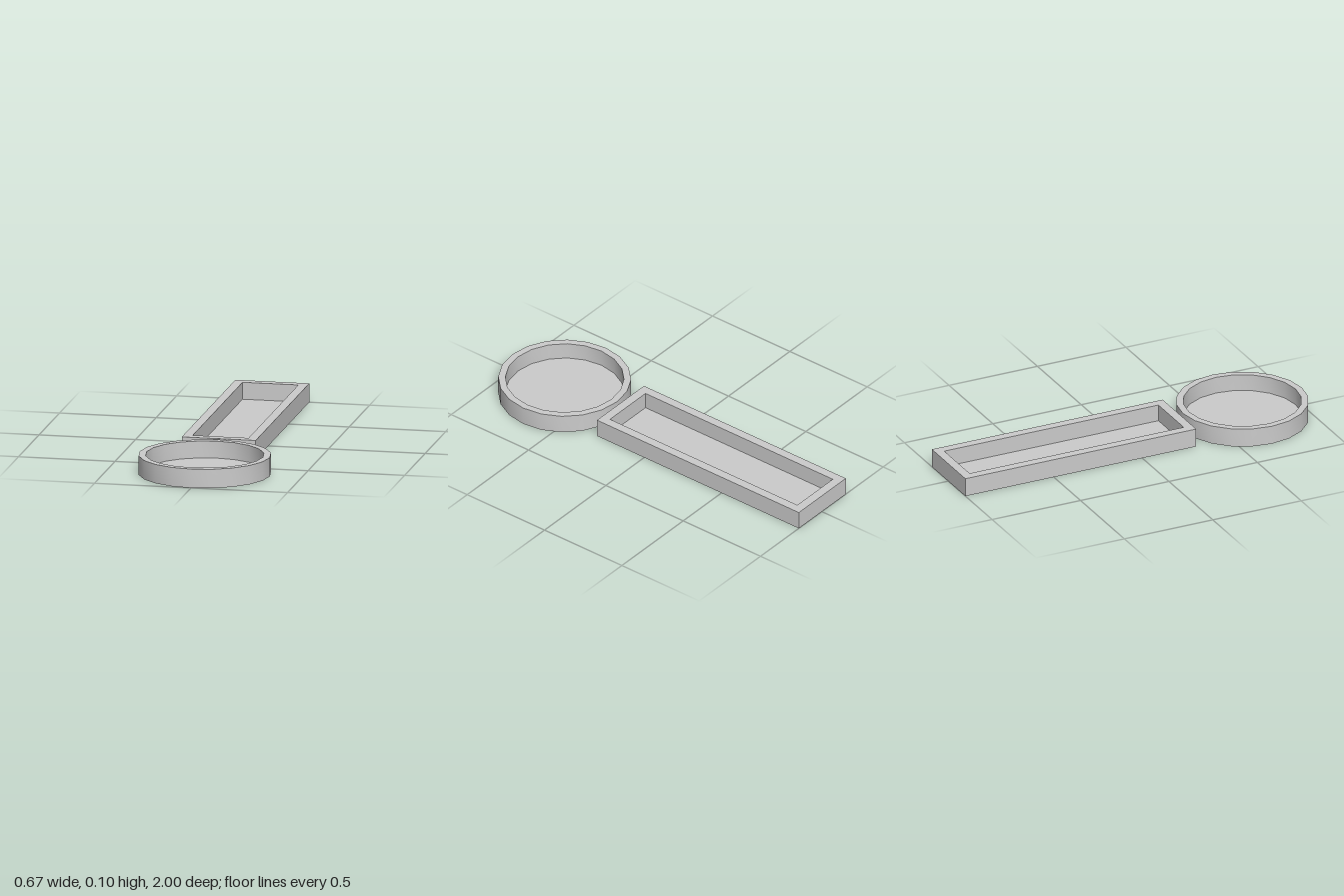
import * as THREE from 'three';
import { toCreasedNormals } from 'three/addons/utils/BufferGeometryUtils.js';

const HEIGHT = 0.098;
const FLOOR = 0.01;
const material = new THREE.MeshStandardMaterial({ color: 0xcccccc });

function addMesh(parent, name, geometry) {
  const mesh = new THREE.Mesh(geometry, material);
  mesh.name = name;
  parent.add(mesh);
  return mesh;
}

// Corners of a centred rectangle, w along x and l along z
function rectangle(w, l) {
  return [[-1, -1], [1, -1], [1, 1], [-1, 1]].map(
    ([x, y]) => new THREE.Vector2(x * w / 2, y * l / 2));
}

// Shallow 20-sided dish with a thin floor
function roundTray(radius, innerRadius) {
  const profile = [
    [0, 0], [radius, 0], [radius, HEIGHT],
    [innerRadius, HEIGHT], [innerRadius, FLOOR], [0, FLOOR],
  ].map(([x, y]) => new THREE.Vector2(x, y));
  return toCreasedNormals(new THREE.LatheGeometry(profile, 20), 0.5);
}

// Long rectangular tray: hollow wall frame with a floor set into it
function longTray(width, length, wall) {
  const tray = new THREE.Group();
  tray.name = 'longTray';
  const w = width - 2 * wall, l = length - 2 * wall;
  const outline = new THREE.Shape(rectangle(width, length));
  outline.holes.push(new THREE.Path(rectangle(w, l).reverse()));
  const walls = new THREE.ExtrudeGeometry(outline, { depth: HEIGHT, bevelEnabled: false });
  addMesh(tray, 'longTrayWalls', walls.rotateX(-Math.PI / 2));
  addMesh(tray, 'longTrayFloor', new THREE.BoxGeometry(w, FLOOR, l)).position.y = FLOOR / 2;
  return tray;
}

export function createModel() {
  const model = new THREE.Group();
  model.name = 'trays';

  addMesh(model, 'roundTray', roundTray(0.337, 0.301)).position.z = 0.663;

  const tray = longTray(0.383, 1.305, 0.047);
  tray.position.set(-0.004, 0, -1 + 1.305 / 2);
  model.add(tray);

  return model;
}
